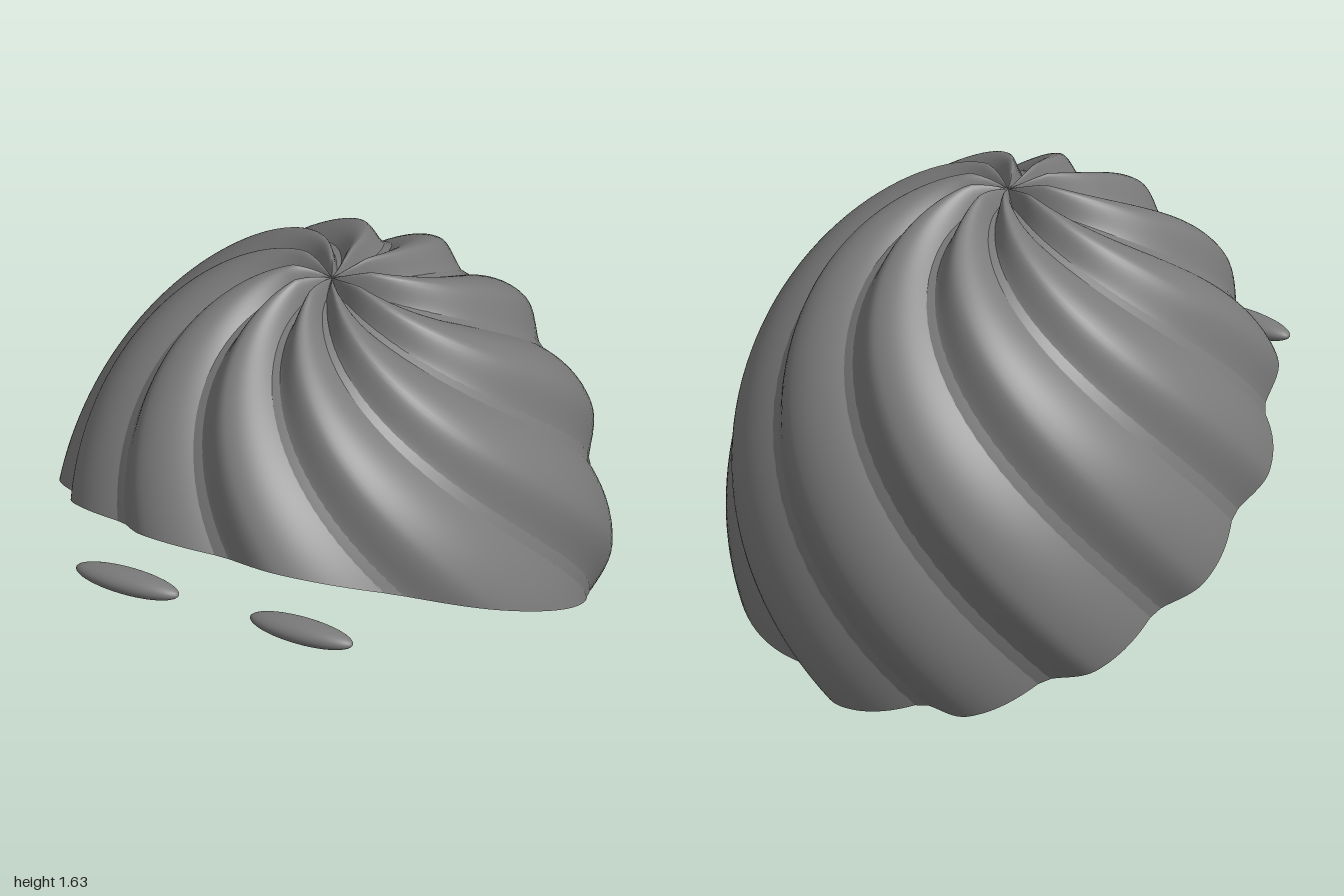
import * as THREE from 'three';

const RX = 0.9, RY = 1.085, RZ = 1.0;   // cap radii
const SLOPE = 0.555;                    // tilt of the open rim
const LOCKS = 10, PHASE = THREE.MathUtils.degToRad(9);
const PEAK = 0.42;                      // where each lock is highest across its width

const smooth = t => t * t * (3 - 2 * t);

// One lock across its width: quick rise, slow rounded fall, from -1 to 1
function lockProfile(u) {
  let t = (u - PHASE) / (2 * Math.PI) * LOCKS;
  t -= Math.floor(t);
  return t < PEAK ? 2 * smooth(t / PEAK) - 1 : 2 * Math.cos((t - PEAK) / (1 - PEAK) * Math.PI / 2) - 1;
}

// Radial scale of the locks, a little taller near the crown
function lockScale(u, th) {
  const amp = 0.034 + 0.014 * Math.exp(-((th / 0.3) ** 2));
  return 1 + amp * Math.min(1, th / 0.14) * lockProfile(u);
}

// Swirled half dome: grid columns follow the locks down to the slanted rim
function domeGeometry(scaleAt, cols = 240, rows = 56) {
  const pos = [], index = [];
  for (let i = 0; i < cols; i++) {
    const u = i / cols * Math.PI * 2;
    let end = Math.PI / 2;
    for (let k = 0; k < 40; k++) end = Math.atan2(RY, SLOPE * RZ * Math.cos(u + end));
    for (let j = 0; j <= rows; j++) {
      const th = end * j / rows, a = u + th, s = scaleAt(u, th);
      pos.push(s * RX * Math.sin(th) * Math.sin(a), s * RY * Math.cos(th), s * RZ * Math.sin(th) * Math.cos(a));
    }
  }
  const at = (i, j) => (i % cols) * (rows + 1) + j;
  for (let i = 0; i < cols; i++) {
    for (let j = 0; j < rows; j++) {
      const a = at(i, j), b = at(i, j + 1), c = at(i + 1, j + 1), d = at(i + 1, j);
      index.push(a, b, c);
      if (j > 0) index.push(a, c, d);
    }
  }
  const g = new THREE.BufferGeometry();
  g.setAttribute('position', new THREE.Float32BufferAttribute(pos, 3));
  g.setIndex(index);
  g.computeVertexNormals();
  return g;
}

export function createModel() {
  const model = new THREE.Group();
  model.name = 'swirledHair';
  const grey = new THREE.MeshStandardMaterial({ color: 0x7a7a7a, side: THREE.DoubleSide });
  grey.name = 'hairGrey';

  const add = (name, geometry, x, y, z) => {
    const mesh = new THREE.Mesh(geometry, grey);
    mesh.name = name;
    mesh.position.set(x, y, z);
    model.add(mesh);
    return mesh;
  };

  // Swirled locks over a smooth inner cap, which the grooves just cut through
  add('hairLocks', domeGeometry(lockScale), 0, 0.513, 0.03);
  add('innerCap', domeGeometry(() => 0.972, 96, 32), 0, 0.513, 0.03);

  // Eyebrows
  const browGeometry = new THREE.SphereGeometry(1, 32, 20);
  for (const side of [-1, 1]) {
    const name = side > 0 ? 'leftEyebrow' : 'rightEyebrow';
    add(name, browGeometry, side * 0.328 + 0.004, 0.817, 0.938).scale.set(0.193, 0.04, 0.058);
  }
  return model;
}
